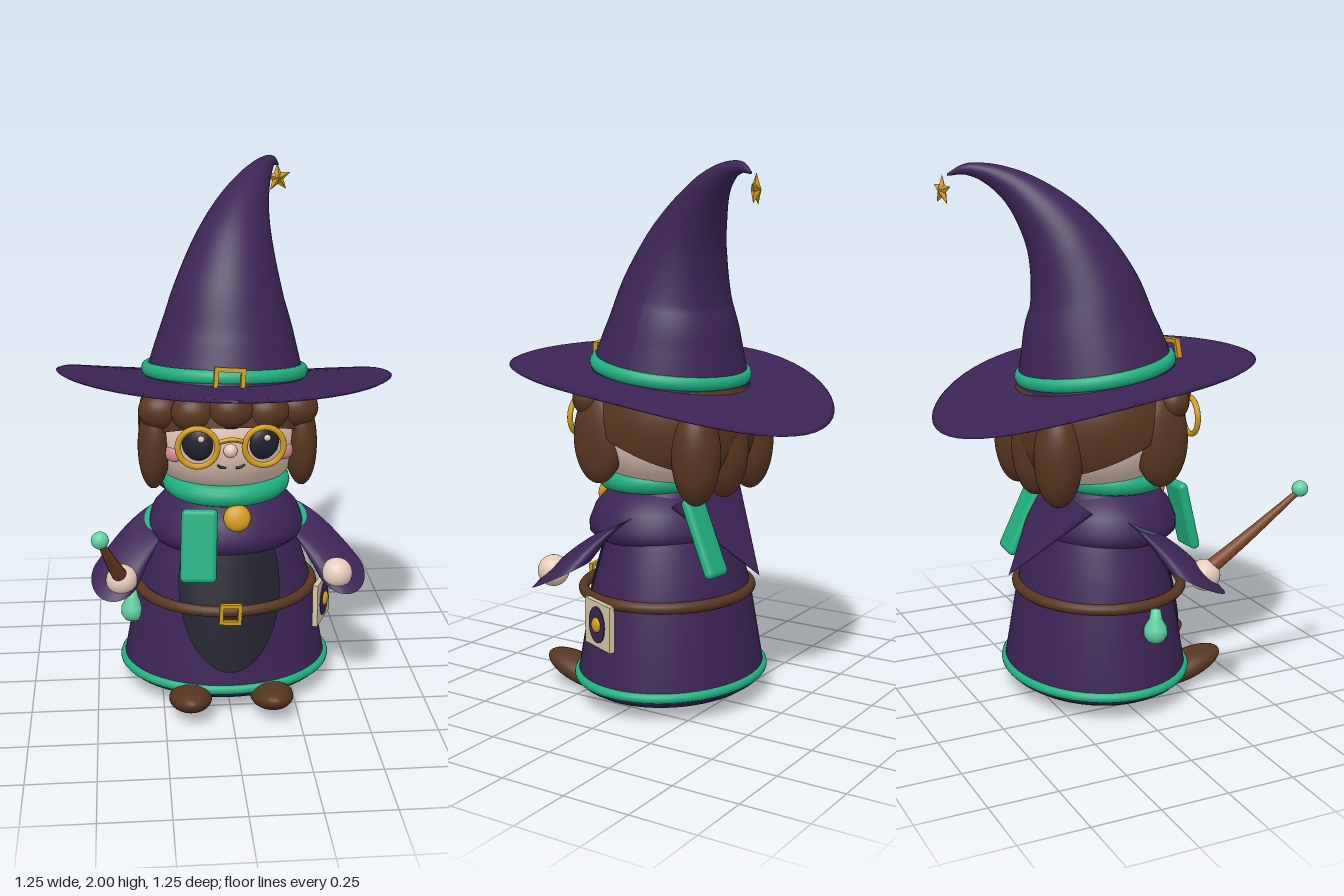
import * as THREE from 'three';
import { RoundedBoxGeometry } from 'three/addons/geometries/RoundedBoxGeometry.js';

const V = (x, y, z) => new THREE.Vector3(x, y, z);

function material(name, color, double = false) {
  const m = new THREE.MeshStandardMaterial({ color });
  m.name = name;
  if (double) m.side = THREE.DoubleSide;
  return m;
}

// Tube along a smooth path; each entry is x, y, z, radius
function taperedTube(entries, segments = 40, sides = 32) {
  const curve = new THREE.CatmullRomCurve3(entries.map(e => V(e[0], e[1], e[2])));
  const radii = new THREE.CatmullRomCurve3(entries.map((e, i) => V(i, e[3], 0)), false, 'catmullrom');
  const geo = new THREE.TubeGeometry(curve, segments, 1, sides, false);
  const pos = geo.attributes.position, p = V(0, 0, 0);
  for (let i = 0; i <= segments; i++) {
    const t = curve.getUtoTmapping(i / segments);
    const c = curve.getPoint(t), r = Math.max(0.001, radii.getPoint(t).y);
    for (let j = 0; j <= sides; j++) {
      const k = i * (sides + 1) + j;
      p.fromBufferAttribute(pos, k).sub(c).multiplyScalar(r).add(c);
      pos.setXYZ(k, p.x, p.y, p.z);
    }
  }
  geo.computeVertexNormals();
  return geo;
}

// Rectangular buckle frame with a hole
function frame(w, h, bar, depth) {
  const box = (a, b, Type) => new Type([V(-a, -b, 0), V(a, -b, 0), V(a, b, 0), V(-a, b, 0)]);
  const shape = box(w / 2, h / 2, THREE.Shape);
  shape.holes.push(box(w / 2 - bar, h / 2 - bar, THREE.Path));
  return new THREE.ExtrudeGeometry(shape, { depth, bevelEnabled: false }).translate(0, 0, -depth / 2);
}

// Five-pointed star, raised in the middle on both sides
function star(R, r, half) {
  const rim = [], out = [];
  for (let i = 0; i < 10; i++) {
    const a = Math.PI / 2 + i * Math.PI / 5, q = i % 2 ? r : R;
    rim.push([Math.cos(a) * q, Math.sin(a) * q, 0]);
  }
  rim.forEach((p, i) => {
    const n = rim[(i + 1) % 10];
    out.push(...p, ...n, 0, 0, half, ...n, ...p, 0, 0, -half);
  });
  const geo = new THREE.BufferGeometry();
  geo.setAttribute('position', new THREE.Float32BufferAttribute(out, 3));
  geo.computeVertexNormals();
  return geo;
}

// Flared sleeve from the shoulder to a wide opening that faces down and back
function sleeve(s, k) {
  const geo = new THREE.CylinderGeometry(1, 1, 1, 32, 12, true);
  const pos = geo.attributes.position;
  const shoulder = V(s * 0.2, 0.725, 0.0), cuff = V(s * 0.42, 0.525, 0.19);
  const U = V(0.093, -s * 0.012, 0), W = V(0, -0.055, 0.115);
  for (let i = 0; i < pos.count; i++) {
    const t = 0.5 - pos.getY(i), q = k * (0.45 + 0.55 * Math.pow(t, 0.9));
    const p = shoulder.clone().lerp(cuff, t);
    p.y += 0.035 * Math.sin(Math.PI * t);
    p.addScaledVector(U, pos.getX(i) * q).addScaledVector(W, pos.getZ(i) * q);
    pos.setXYZ(i, p.x, p.y, p.z);
  }
  geo.computeVertexNormals();
  return geo;
}

export function createModel() {
  const model = new THREE.Group();
  model.name = 'littleWizard';
  const purple = material('purple cloth', 0x3c2455, true);
  const green = material('green trim', 0x20b080, true);
  const brown = material('dark brown', 0x573620);
  const wood = material('wand wood', 0x7d4526);
  const skin = material('skin', 0xe6cbba);
  const gold = material('gold', 0xd09c1c);
  const dark = material('dark navy', 0x20212d, true);
  const mint = material('mint', 0x62d2a4);
  const paper = material('parchment', 0xd3c9a2);
  const pink = material('blush', 0xdc8f9a);

  const add = (name, geo, mat, pos = [0, 0, 0], rot = [0, 0, 0], scale = [1, 1, 1]) => {
    const m = new THREE.Mesh(geo, mat);
    m.name = name;
    m.position.set(...pos);
    m.rotation.set(...rot);
    m.scale.set(...scale);
    model.add(m);
    return m;
  };
  const ball = new THREE.SphereGeometry(1, 32, 24);
  const blob = (name, mat, pos, scale, rot) => add(name, ball, mat, pos, rot, scale);
  const torus = (R, r) => new THREE.TorusGeometry(R, r, 14, 64).rotateX(Math.PI / 2);
  const lathe = pts => new THREE.LatheGeometry(pts.map(p => new THREE.Vector2(...p)), 56);

  // Robe, with hem, underside and shoulder cape
  const wall = [[0.395, 0.1], [0.335, 0.42], [0.275, 0.62], [0.18, 0.82]];
  const flat = 0.86, robeZ = -0.02;
  add('robe', lathe([[0.001, 0.05], [0.35, 0.05], [0.385, 0.07], ...wall]), purple, [0, 0, robeZ], [0, 0, 0], [1, 1, flat]);
  add('hem', torus(0.392, 0.018), green, [0, 0.1, robeZ], [0, 0, 0], [1, 1, flat]);
  add('robeUnderside', new THREE.CircleGeometry(0.24, 40).rotateX(Math.PI / 2), dark, [0, 0.046, robeZ], [0, 0, 0], [1, 1, flat]);
  add('shoulderCape', lathe([[0.22, 0.62], [0.27, 0.622], [0.297, 0.645], [0.297, 0.68], [0.272, 0.74], [0.225, 0.79], [0.15, 0.83]]),
    purple, [0, 0, 0.02], [0, 0, 0], [1, 1, 0.91]);

  // Dark front panel that follows the robe
  const panel = new THREE.RingGeometry(0.001, 1, 48, 10), pp = panel.attributes.position;
  for (let i = 0; i < pp.count; i++) {
    const x = pp.getX(i) * 0.19, y = 0.48 + pp.getY(i) * 0.31;
    const n = Math.max(0, wall.findIndex(w => w[1] >= y) - 1);
    const [r0, y0] = wall[n], [r1, y1] = wall[n + 1];
    const r = r0 + (r1 - r0) * (y - y0) / (y1 - y0);
    pp.setXYZ(i, x, y, robeZ + flat * Math.sqrt(Math.max(0, r * r - x * x)) + 0.008);
  }
  panel.computeVertexNormals();
  add('frontPanel', panel, dark);

  // Belt and its buckle
  add('belt', torus(0.335, 0.021), brown, [0, 0.418, 0], [0, 0, 0], [1, 1, 0.93]);
  add('beltBuckle', frame(0.082, 0.08, 0.014, 0.016), gold, [-0.005, 0.418, 0.336], [0, 0, -0.06]);

  // Hood hanging down the back
  const hood = new THREE.ConeGeometry(0.24, 0.36, 32);
  hood.scale(1, 1, 0.2).rotateX(Math.PI + 0.69);
  add('hoodPoint', hood, purple, [-0.03, 0.64, -0.27]);

  // Scarf and tails
  add('scarf', torus(0.2, 0.041), green, [0, 0.845, 0.038], [0.03, 0, 0], [1, 1, 0.95]);
  add('scarfFrontTail', new RoundedBoxGeometry(0.132, 0.27, 0.04, 4, 0.019), green, [-0.118, 0.677, 0.3], [-0.22, 0, -0.04]);
  add('scarfBackTail', new RoundedBoxGeometry(0.12, 0.3, 0.04, 4, 0.019), green, [0.15, 0.665, -0.255], [0.42, 0, 0.06]);
  blob('collarButton', gold, [0.025, 0.765, 0.258], [0.05, 0.05, 0.026], [-0.3, 0, 0]);

  // Head, cheeks, glasses and eyes
  blob('head', skin, [0, 1.06, 0], [0.31, 0.28, 0.3]);
  blob('nose', skin, [-0.004, 1.038, 0.302], [0.025, 0.025, 0.025]);
  for (const s of [-1, 1]) {
    blob('eye', dark, [s * 0.118, 1.057, 0.27], [0.058, 0.062, 0.03], [0, s * 0.3, 0]);
    blob('eyeHighlight', skin, [s * 0.118 + 0.01, 1.082, 0.299], [0.012, 0.012, 0.006]);
    blob('cheek', pink, [s * 0.21, 1.0, 0.208], [0.042, 0.028, 0.014], [0.15, s * 0.75, 0]);
    add('lensRing', new THREE.TorusGeometry(0.07, 0.011, 10, 40), gold, [s * 0.118 - 0.004, 1.06, 0.325], [0, s * 0.08, 0]);
    add('mouth', taperedTube([[s * 0.018, 0.968, 0.284, 0.004], [s * 0.034, 0.969, 0.283, 0.005], [s * 0.05, 0.979, 0.282, 0.004]], 8, 8), dark);
  }
  add('glassesBridge', taperedTube([[-0.06, 1.075, 0.328, 0.009], [0, 1.088, 0.332, 0.009], [0.055, 1.075, 0.328, 0.009]], 12, 10), gold);

  // Hair: cap, fringe, side locks and back locks
  add('hairCap', new THREE.SphereGeometry(0.325, 48, 32, 0, Math.PI * 2, 0, 1.77), brown, [0, 1.06, -0.01], [-0.4, 0, 0]);
  for (const [x, y, z] of [[-0.245, 1.155, 0.17], [-0.13, 1.165, 0.24], [0, 1.178, 0.262], [0.13, 1.165, 0.24], [0.245, 1.155, 0.17]])
    blob('fringeLock', brown, [x, y, z], [0.082, 0.07, 0.068]);
  for (const s of [-1, 1]) blob('sideLock', brown, [s * 0.268, 1.02, 0.125], [0.062, 0.175, 0.105], [0, 0, s * 0.04]);
  for (const x of [-0.19, 0.01, 0.2]) blob('backLock', brown, [x, 0.975, -0.255 + 0.03 * Math.abs(x)], [0.092, 0.185, 0.088]);

  // Hat brim: tilted, raised at the sides and drooping at the back
  const brim = lathe([[0.15, -0.01], [0.3, -0.012], [0.45, -0.011], [0.56, -0.009], [0.61, -0.006], [0.623, 0],
    [0.61, 0.006], [0.56, 0.009], [0.45, 0.011], [0.3, 0.014], [0.15, 0.014]]);
  const bp = brim.attributes.position;
  for (let i = 0; i < bp.count; i++) {
    const u = bp.getX(i) / 0.623, v = bp.getZ(i) / 0.623, r = Math.hypot(u, v);
    const x = bp.getX(i), z = bp.getZ(i) * 0.955 - 0.025;
    const back = Math.max(0, -v);
    bp.setXYZ(i, x, bp.getY(i) + 1.217 + 0.135 * z - 0.028 * x + r * (0.035 * u * u - 0.07 * back * back), z);
  }
  brim.computeVertexNormals();
  add('hatBrim', brim, purple);

  // Bent hat crown, band, buckle and star
  add('hatCrown', taperedTube([
    [0, 1.22, -0.01, 0.3], [0.008, 1.38, -0.03, 0.255], [0.016, 1.53, -0.05, 0.208],
    [0.042, 1.7, -0.11, 0.152], [0.08, 1.82, -0.185, 0.105], [0.13, 1.91, -0.27, 0.065],
    [0.18, 1.962, -0.36, 0.036], [0.215, 1.975, -0.43, 0.02], [0.247, 1.955, -0.487, 0.004],
  ], 64, 48), purple);
  add('hatBand', torus(0.29, 0.02), green, [0, 1.258, -0.015], [-0.133, 0, -0.028], [1, 1.3, 0.97]);
  add('hatBuckle', frame(0.112, 0.1, 0.016, 0.02), gold, [-0.008, 1.292, 0.303], [-0.13, 0.07, -0.08]);
  add('hatStar', star(0.057, 0.025, 0.018), gold, [0.25, 1.9, -0.508], [0, 0.25, 0.05]);

  // Sleeves, hands and shoes
  for (const s of [-1, 1]) {
    add('sleeve', sleeve(s, 1), purple);
    add('sleeveLining', sleeve(s, 0.95), green);
    blob('hand', skin, [s * 0.4, 0.528, 0.24], [0.058, 0.058, 0.058]);
    blob('shoe', brown, [s * 0.153, 0.066, 0.3], [0.08, 0.05, 0.155], [-0.29, 0, 0]);
  }

  // Wand with a glowing tip
  add('wand', taperedTube([[-0.4, 0.525, 0.22, 0.03], [-0.432, 0.66, 0.395, 0.022], [-0.467, 0.815, 0.585, 0.011]], 12, 16), wood);
  blob('wandTip', mint, [-0.469, 0.83, 0.597], [0.03, 0.03, 0.03]);

  // Potion flask on the belt
  add('flask', lathe([[0.001, 0], [0.03, 0.006], [0.044, 0.03], [0.042, 0.058], [0.024, 0.09], [0.018, 0.125], [0.001, 0.13]]),
    mint, [-0.362, 0.282, 0.06]);

  // Parchment hanging at the hip, with a painted emblem
  const sheet = new THREE.Group();
  sheet.name = 'parchment';
  sheet.position.set(0.372, 0.345, 0.055);
  sheet.rotation.set(0, 1.155, 0);
  const disc = new THREE.CylinderGeometry(1, 1, 1, 32).rotateX(Math.PI / 2);
  const part = (name, geo, mat, z, scale) => {
    const m = add(name, geo, mat, [0, 0, z], [0, 0, 0], scale);
    sheet.add(m);
  };
  part('parchmentSheet', new THREE.BoxGeometry(0.175, 0.17, 0.02), paper, 0, [1, 1, 1]);
  part('emblem', disc, purple, 0.011, [0.054, 0.068, 0.006]);
  part('emblemStud', ball, gold, 0.014, [0.028, 0.028, 0.014]);
  model.add(sheet);

  return model;
}
